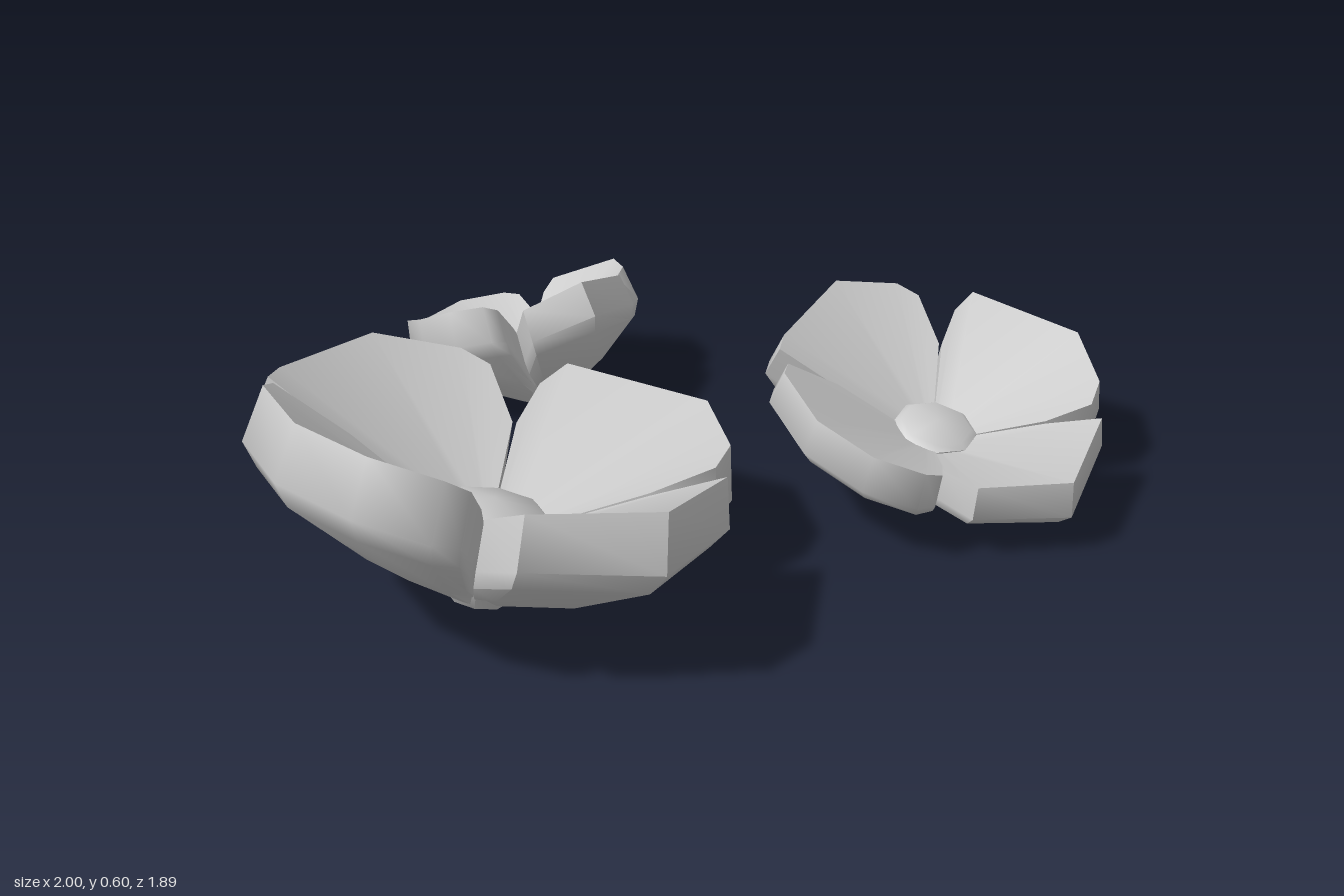
import * as THREE from 'three';
import { toCreasedNormals } from 'three/addons/utils/BufferGeometryUtils.js';

const grey = new THREE.MeshStandardMaterial({ color: 0xcccccc });

// Four uneven petals of a unit flower: start angle, steepness, rim corners as [x, z]
const petals = [
  { name: 'frontLeftPetal', start: 0, lift: 0.98,
    rim: [[0.17, 0.9], [0.7, 0.79], [0.92, 0.05]] },
  { name: 'backLeftPetal', start: 90, lift: 1,
    rim: [[0.87, -0.09], [0.92, -0.28], [0.8, -0.69], [0.17, -0.98], [0.07, -0.85]] },
  { name: 'backRightPetal', start: 180, lift: 1,
    rim: [[-0.16, -0.9], [-0.3, -0.94], [-0.68, -0.81], [-0.97, -0.2], [-0.99, -0.05]] },
  { name: 'frontRightPetal', start: 270, lift: 1.13,
    rim: [[-0.94, 0.12], [-0.96, 0.25], [-0.76, 0.66], [-0.44, 0.92], [-0.14, 0.97], [-0.04, 0.89]] },
];

// Closed vertical section of a petal along one ray; pinch thins the underside at the sides
function raySection(angle, reach, lift, pinch) {
  const top = (r) => -0.03 + 0.52 * lift * (r - 0.12);
  const crest = top(0.95 * reach);
  const thin = 1 - pinch;
  return [
    [0.12, top(0.12)],
    [0.95 * reach, crest],
    [reach, crest - 0.23 * thin],
    [0.93 * reach, crest - 0.33 * thin],
    [0.55 * reach, top(0.55 * reach) - 0.34 * thin],
    [0.12, top(0.12) - 0.29 * thin],
  ].map(([r, y]) => [r * Math.sin(angle), y, r * Math.cos(angle)]);
}

// Thick petal lofted from ray to ray between two gaps
function petalGeometry({ start, lift, rim }) {
  const gapRay = (deg) => raySection(THREE.MathUtils.degToRad(deg), 0.62, lift, 0.15);
  const rings = [
    gapRay(start + 0.8),
    ...rim.map(([x, z], i) => raySection(
      Math.atan2(x, z), Math.hypot(x, z), lift, i === 0 || i === rim.length - 1 ? 0.1 : 0)),
    gapRay(start + 89.2),
  ];
  const n = rings[0].length;
  const last = rings.length - 1;
  const pos = [];
  const tri = (a, b, c) => pos.push(...a, ...b, ...c);
  for (let i = 0; i < last; i++) {
    for (let j = 0; j < n; j++) {
      const k = (j + 1) % n;
      tri(rings[i][j], rings[i][k], rings[i + 1][k]);
      tri(rings[i][j], rings[i + 1][k], rings[i + 1][j]);
    }
  }
  // Flat sides facing the neighbouring petals
  for (let j = 1; j < n - 1; j++) {
    tri(rings[0][0], rings[0][j + 1], rings[0][j]);
    tri(rings[last][0], rings[last][j], rings[last][j + 1]);
  }
  const g = new THREE.BufferGeometry();
  g.setAttribute('position', new THREE.Float32BufferAttribute(pos, 3));
  return toCreasedNormals(g, 1);
}

// Eight-sided flower centre reaching down to a rounded base
function centreGeometry() {
  const profile = [[0, -0.35], [0.12, -0.335], [0.2, -0.25], [0.235, 0.03], [0.2, 0.06], [0, 0.09]]
    .map(([r, y]) => new THREE.Vector2(r, y));
  return toCreasedNormals(new THREE.LatheGeometry(profile, 8).toNonIndexed(), 0.7);
}

export function createModel() {
  const model = new THREE.Group();
  const centre = centreGeometry();
  const petalShapes = petals.map(petalGeometry);

  const flowers = [
    { name: 'largeFlower', x: -0.46, z: 0.415, size: 0.585, cup: 1, lean: [0.17, 1, -0.17] },
    { name: 'mediumFlower', x: 0.57, z: -0.21, size: 0.445, cup: 0.87, lean: [0.17, 1, 0.18] },
    { name: 'smallFlower', x: -0.465, z: -0.61, size: 0.315, cup: 1.27, lean: [-0.32, 1, -0.32] },
  ];

  for (const f of flowers) {
    const flower = new THREE.Group();
    flower.name = f.name;
    const middle = new THREE.Mesh(centre, grey);
    middle.name = 'flowerCentre';
    flower.add(middle);
    petals.forEach((petal, i) => {
      const mesh = new THREE.Mesh(petalShapes[i], grey);
      mesh.name = petal.name;
      flower.add(mesh);
    });
    flower.scale.set(f.size, f.size * f.cup, f.size);
    flower.quaternion.setFromUnitVectors(
      new THREE.Vector3(0, 1, 0), new THREE.Vector3(...f.lean).normalize());
    // Rest the tilted flower on the ground
    const box = new THREE.Box3().setFromObject(flower, true);
    flower.position.set(f.x, -box.min.y, f.z);
    model.add(flower);
  }
  return model;
}
